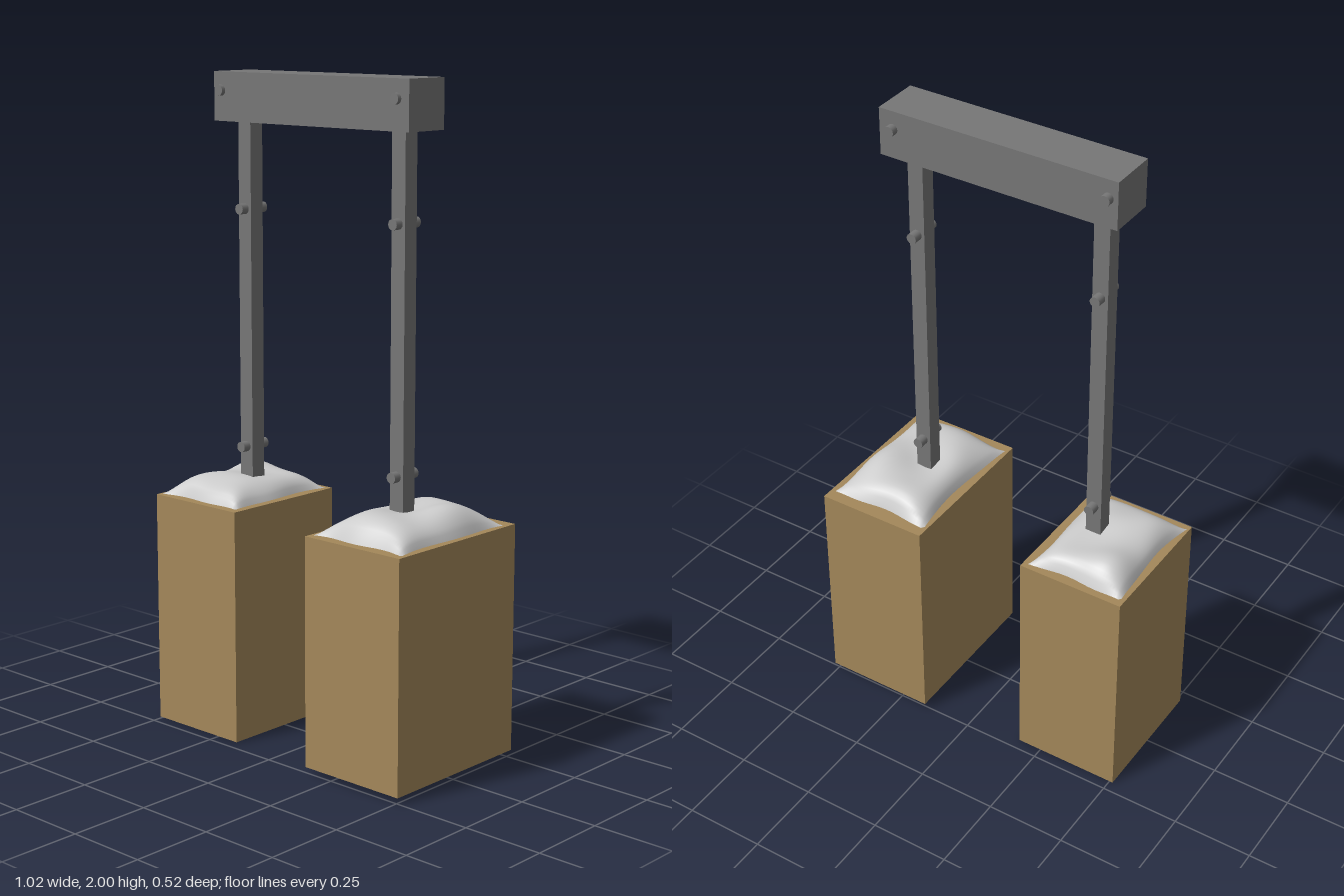
import * as THREE from 'three';

const steel = new THREE.MeshStandardMaterial({ color: 0x777777 });
const brown = new THREE.MeshStandardMaterial({ color: 0xa4885a });
const grey = new THREE.MeshStandardMaterial({ color: 0xcccccc, side: THREE.DoubleSide });

// Box given by its limits on each axis
function box(name, material, [x0, x1], [y0, y1], [z0, z1]) {
  const mesh = new THREE.Mesh(new THREE.BoxGeometry(x1 - x0, y1 - y0, z1 - z0), material);
  mesh.position.set((x0 + x1) / 2, (y0 + y1) / 2, (z0 + z1) / 2);
  mesh.name = name;
  return mesh;
}

// Round bolt running front to back
function bolt(name, x, y, z0, z1) {
  const geometry = new THREE.CylinderGeometry(0.016, 0.016, z1 - z0, 16).rotateX(Math.PI / 2);
  const mesh = new THREE.Mesh(geometry, steel);
  mesh.position.set(x, y, (z0 + z1) / 2);
  mesh.name = name;
  return mesh;
}

// Soft lumpy mound: a grid with pinched corners, a rounded rim and a dip at the post
function mound(name, cx, cz, halfX, halfZ, baseY, height, phase, dipX) {
  const geometry = new THREE.PlaneGeometry(2, 2, 32, 32).rotateX(-Math.PI / 2);
  const p = geometry.attributes.position;
  for (let i = 0; i < p.count; i++) {
    const u = p.getX(i), v = p.getZ(i);
    // Sides waver inwards between the corners
    const sideX = 1 - 0.09 * (1 - v ** 4) + 0.025 * Math.sin(4 * v + phase) * Math.sign(u);
    const sideZ = 1 - 0.05 * (1 - u ** 4) + 0.02 * Math.sin(5 * u + phase) * Math.sign(v);
    const x = cx + u * halfX * (1 + (sideX - 1) * Math.abs(u));
    const z = cz + v * halfZ * (1 + (sideZ - 1) * Math.abs(v));
    const rim = Math.pow((1 - Math.abs(u) ** 3.2) * (1 - Math.abs(v) ** 5), 0.75);
    const lumps = 0.85 + 0.1 * Math.sin(3.5 * u + phase) * Math.cos(4 * v - phase)
      + 0.06 * Math.sin(6 * v + 2 * u + phase);
    const dip = 0.25 * Math.exp(-((x - dipX) ** 2 + z * z) / 0.006);
    p.setXYZ(i, x, baseY + height * rim * (lumps - dip), z);
  }
  geometry.computeVertexNormals();
  const mesh = new THREE.Mesh(geometry, grey);
  mesh.name = name;
  return mesh;
}

export function createModel() {
  const model = new THREE.Group();
  model.name = 'postFrame';

  // Crossbeam with a bolt at each end
  model.add(box('crossbeam', steel, [-0.38, 0.377], [1.855, 2], [-0.075, 0.075]));
  for (const x of [-0.35, 0.333]) model.add(bolt('beamBolt', x, 1.945, -0.096, 0.088));

  // Posts with two bolts each
  for (const [name, x] of [['rightPost', -0.306], ['leftPost', 0.298]]) {
    const post = new THREE.Group();
    post.name = name;
    post.add(box('postShaft', steel, [x - 0.025, x + 0.025], [0.72, 1.855], [-0.025, 0.025]));
    for (const y of [0.87, 1.595]) post.add(bolt('postBolt', x, y, -0.054, 0.05));
    model.add(post);
  }

  // Footing blocks
  model.add(box('rightFooting', brown, [-0.511, -0.173], [0, 0.718], [-0.215, 0.212]));
  model.add(box('leftFooting', brown, [0.155, 0.509], [0.02, 0.714], [-0.26, 0.256]));

  // Mounds around the post feet
  model.add(mound('rightMound', -0.345, -0.002, 0.157, 0.195, 0.717, 0.08, 0.6, -0.306));
  model.add(mound('leftMound', 0.333, 0.003, 0.168, 0.231, 0.713, 0.085, 2.2, 0.298));

  return model;
}
